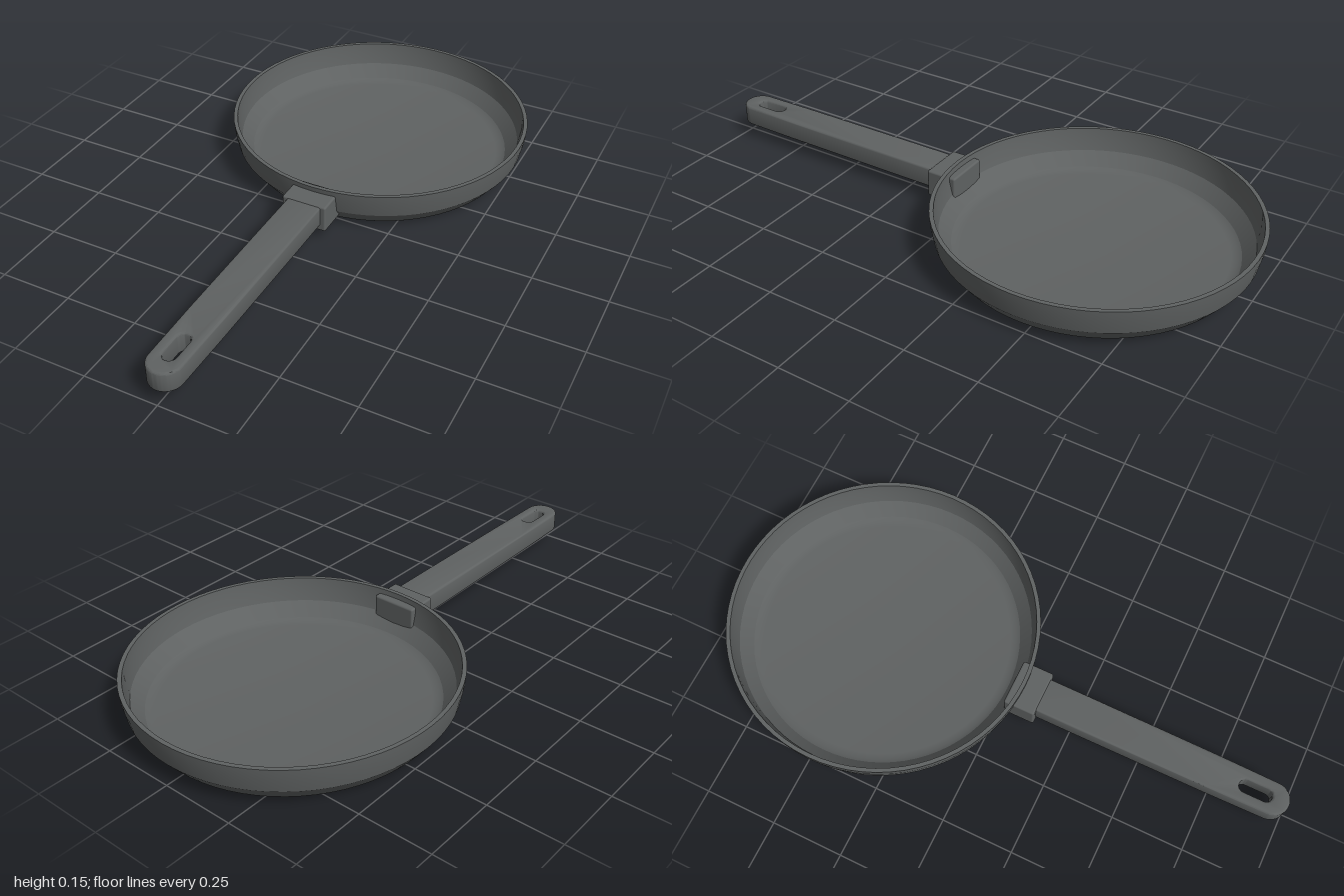
import * as THREE from 'three';
import { toCreasedNormals } from 'three/addons/utils/BufferGeometryUtils.js';
import { RoundedBoxGeometry } from 'three/addons/geometries/RoundedBoxGeometry.js';

const PAN_Z = -0.468;

export function createModel() {
  const group = new THREE.Group();
  const darkMetal = new THREE.MeshStandardMaterial({ color: 0x5f6262 });
  darkMetal.name = 'darkMetal';

  const add = (name, geometry) => {
    const mesh = new THREE.Mesh(geometry, darkMetal);
    mesh.name = name;
    group.add(mesh);
    return mesh;
  };

  // Pan: one closed profile, from the underside over the rim to the cooking floor
  const profile = [
    [0, 0], [0.455, 0], [0.47, 0.007], [0.479, 0.014], [0.519, 0.065],
    [0.529, 0.115], [0.532, 0.15], [0.518, 0.15], [0.514, 0.115],
    [0.503, 0.07], [0.463, 0.025], [0.45, 0.018], [0.43, 0.015], [0, 0.015],
  ].map(([r, y]) => new THREE.Vector2(r, y));
  const pan = add('pan', toCreasedNormals(new THREE.LatheGeometry(profile, 72), 0.35));
  pan.position.z = PAN_Z;

  // Collar: block that passes through the pan wall and grips the handle
  const collar = add('collar', new RoundedBoxGeometry(0.16, 0.096, 0.11, 2, 0.007));
  collar.position.set(0, 0.084, 0.075);

  // Handle: slightly tapered bar with a round end and a hanging slot
  const endR = 0.056, endZ = 1 - endR, bevel = 0.007;
  const outline = new THREE.Shape();
  outline.moveTo(-0.061, 0.08);
  outline.lineTo(0.061, 0.08);
  outline.lineTo(0.061, 0.28);
  outline.lineTo(0.059, 0.73);
  outline.lineTo(endR, endZ);
  outline.absarc(0, endZ, endR, 0, Math.PI, false);
  outline.lineTo(-0.059, 0.73);
  outline.lineTo(-0.061, 0.28);
  outline.closePath();

  const slot = new THREE.Path();
  const slotR = 0.022;
  slot.absarc(0, 0.92, slotR, 0, Math.PI, false);
  slot.absarc(0, 0.85, slotR, Math.PI, Math.PI * 2, false);
  slot.closePath();
  outline.holes.push(slot);

  const thickness = 0.072;
  const bar = new THREE.ExtrudeGeometry(outline, {
    depth: thickness - 2 * bevel, curveSegments: 16,
    bevelEnabled: true, bevelSize: bevel, bevelThickness: bevel,
    bevelOffset: -bevel, bevelSegments: 3,
  });
  bar.rotateX(Math.PI / 2);
  const handle = add('handle', toCreasedNormals(bar, 0.6));
  handle.position.y = 0.128 - bevel;

  return group;
}
